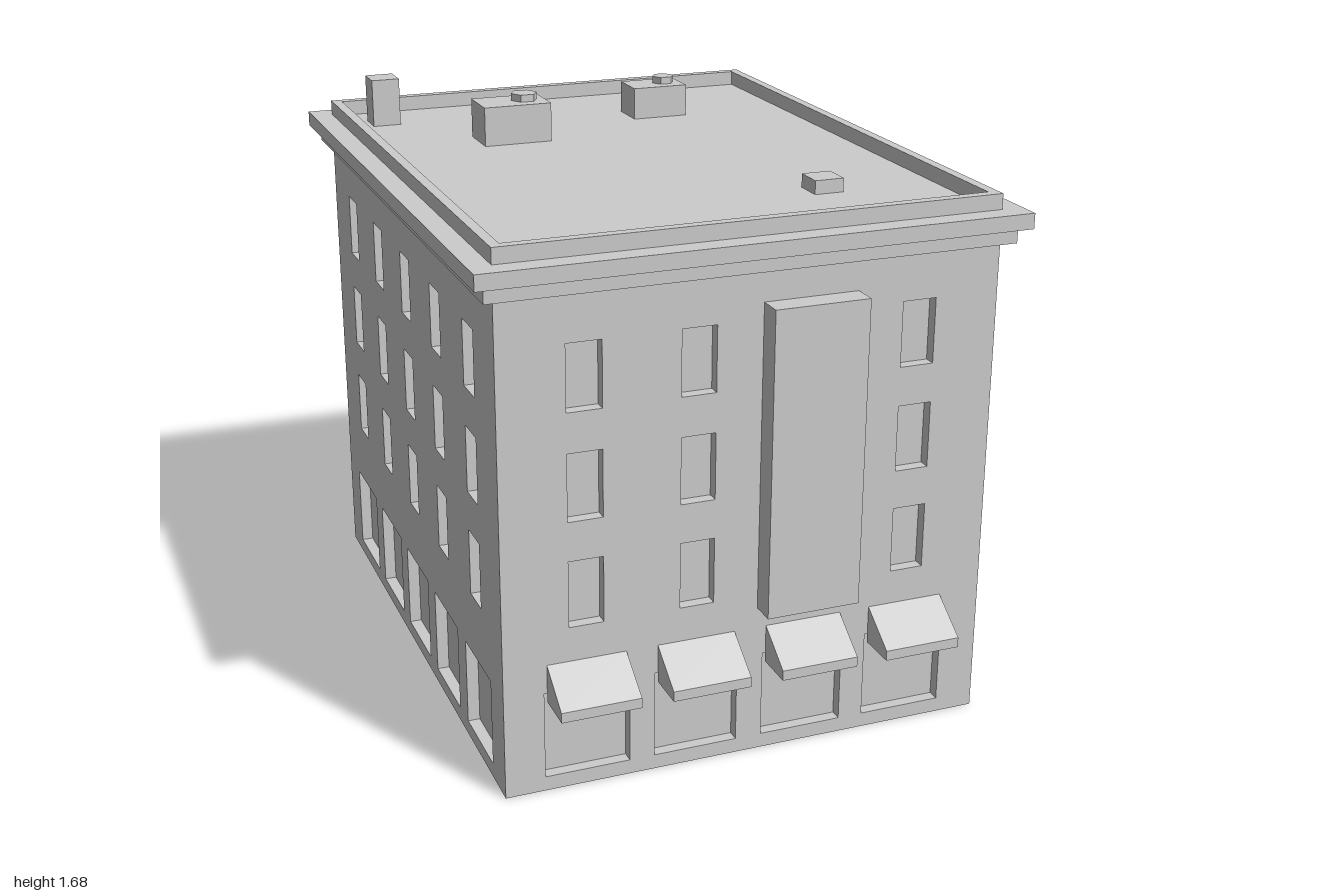
import * as THREE from 'three';
import { mergeGeometries } from 'three/addons/utils/BufferGeometryUtils.js';

const HALF_X = 0.725, FRONT = 0.88, BACK = -0.935, WALL_TOP = 1.44;
const ROOF = 1.53, PARAPET_TOP = 1.575, RECESS = 0.035;

const plaster = new THREE.MeshStandardMaterial({ color: 0xcccccc, side: THREE.DoubleSide });
plaster.name = 'grey plaster';

const FLOORS = [[0.49, 0.685], [0.8, 0.995], [1.11, 1.3]];
const FRONT_COLUMNS = [-0.485, -0.163, 0.163, 0.485];
const SIDE_COLUMNS = [0.638, 0.306, -0.025, -0.354, -0.685]; // z, front to back

function add(parent, name, geometry) {
  const mesh = new THREE.Mesh(geometry, plaster);
  mesh.name = name;
  parent.add(mesh);
  return mesh;
}

// Box given by its limits on each axis
function block(parent, name, [x0, x1], [y0, y1], [z0, z1]) {
  const g = new THREE.BoxGeometry(x1 - x0, y1 - y0, z1 - z0);
  g.translate((x0 + x1) / 2, (y0 + y1) / 2, (z0 + z1) / 2);
  return add(parent, name, g);
}

function rectangle(target, x0, x1, y0, y1) {
  return target.moveTo(x0, y0).lineTo(x1, y0).lineTo(x1, y1).lineTo(x0, y1).closePath();
}

// Openings are {u, w, y0, y1} on a wall
const windowAt = (u, y0, y1) => ({ u, w: 0.1, y0, y1 });
const shopAt = (u) => ({ u, w: 0.248, y0: 0.043, y1: 0.303 });
const windowGrid = (columns, floors) => columns.flatMap((u) => floors.map(([a, b]) => windowAt(u, a, b)));

// Inward-facing tray: a pane and four reveals, open at the front
function recessGeometry({ u, w, y0, y1 }) {
  const g = new THREE.BoxGeometry(w, y1 - y0, RECESS);
  const index = Array.from(g.index.array);
  index.splice(24, 6);
  g.setIndex(index.reverse());
  g.clearGroups();
  g.computeVertexNormals();
  return g.translate(u, (y0 + y1) / 2, -RECESS / 2);
}

// Thin wall facing local +z with recessed openings
function wall(parent, name, u0, u1, openings) {
  const group = new THREE.Group();
  group.name = name;
  const shape = rectangle(new THREE.Shape(), u0, u1, 0, WALL_TOP);
  for (const { u, w, y0, y1 } of openings) {
    shape.holes.push(rectangle(new THREE.Path(), u - w / 2, u + w / 2, y0, y1));
  }
  add(group, name + 'Face', new THREE.ShapeGeometry(shape));
  add(group, name + 'Openings', mergeGeometries(openings.map(recessGeometry)));
  parent.add(group);
  return group;
}

export function createModel() {
  const model = new THREE.Group();
  model.name = 'cornerBuilding';

  // Four walls
  const front = wall(model, 'frontWall', -HALF_X, HALF_X, [
    ...windowGrid([FRONT_COLUMNS[0], FRONT_COLUMNS[1], FRONT_COLUMNS[3]], FLOORS),
    ...FRONT_COLUMNS.map(shopAt),
  ]);
  front.position.z = FRONT;

  const back = wall(model, 'backWall', -HALF_X, HALF_X,
    windowGrid(FRONT_COLUMNS, [[0.108, 0.302], ...FLOORS]));
  back.position.z = BACK;
  back.rotation.y = Math.PI;

  const flipped = SIDE_COLUMNS.map((z) => -z);
  const left = wall(model, 'leftWall', -FRONT, -BACK, [
    ...windowGrid(flipped, FLOORS),
    ...flipped.slice(0, 4).map(shopAt),
    { u: flipped[4], w: 0.256, y0: 0.002, y1: 0.365 }, // side door
  ]);
  left.position.x = HALF_X;
  left.rotation.y = Math.PI / 2;

  const right = wall(model, 'rightWall', BACK, FRONT, [
    ...windowGrid(SIDE_COLUMNS, FLOORS),
    ...SIDE_COLUMNS.map(shopAt),
  ]);
  right.position.x = -HALF_X;
  right.rotation.y = -Math.PI / 2;

  // Projecting bay on the front
  block(model, 'bay', [0.02, 0.298], [0.448, 1.347], [FRONT, 0.953]);

  // Awnings over the shop windows
  for (const x of FRONT_COLUMNS) {
    const profile = new THREE.Shape();
    profile.moveTo(0, 0.275).lineTo(0.12, 0.275).lineTo(0.12, 0.305).lineTo(0, 0.388).closePath();
    const g = new THREE.ExtrudeGeometry(profile, { depth: 0.23, bevelEnabled: false });
    g.translate(0, 0, -0.115).rotateY(-Math.PI / 2);
    add(model, 'awning', g).position.set(x, 0, FRONT);
  }

  // Stepped cornice and roof deck
  const steps = [[0.033, WALL_TOP, 1.485], [0.064, 1.485, ROOF]];
  steps.forEach(([out, y0, y1], i) => {
    block(model, i ? 'upperCornice' : 'lowerCornice',
      [-HALF_X - out, HALF_X + out], [y0, y1], [BACK - out, FRONT + out]);
  });

  // Parapet ring
  const t = 0.03;
  const ring = rectangle(new THREE.Shape(), -HALF_X, HALF_X, -FRONT, -BACK);
  ring.holes.push(rectangle(new THREE.Path(), -HALF_X + t, HALF_X - t, -FRONT + t, -BACK - t));
  const parapet = new THREE.ExtrudeGeometry(ring, { depth: PARAPET_TOP - ROOF, bevelEnabled: false });
  add(model, 'parapet', parapet.rotateX(-Math.PI / 2)).position.y = ROOF;

  // Rooftop equipment
  block(model, 'chimney', [-0.638, -0.55], [ROOF, 1.678], [-0.798, -0.708]);
  block(model, 'roofHatch', [0.316, 0.404], [ROOF, 1.57], [0.47, 0.558]);
  block(model, 'largeRoofUnit', [-0.382, -0.168], [ROOF, 1.65], [-0.463, -0.318]);
  block(model, 'smallRoofUnit', [0.18, 0.36], [ROOF, 1.63], [-0.635, -0.51]);
  for (const [x, y, z, r] of [[-0.232, 1.65, -0.394, 0.042], [0.304, 1.63, -0.577, 0.036]]) {
    const vent = new THREE.CylinderGeometry(r, r, 0.022, 6).toNonIndexed();
    vent.computeVertexNormals();
    vent.rotateY(Math.PI / 2);
    add(model, 'roofVent', vent).position.set(x, y + 0.011, z);
  }

  return model;
}
